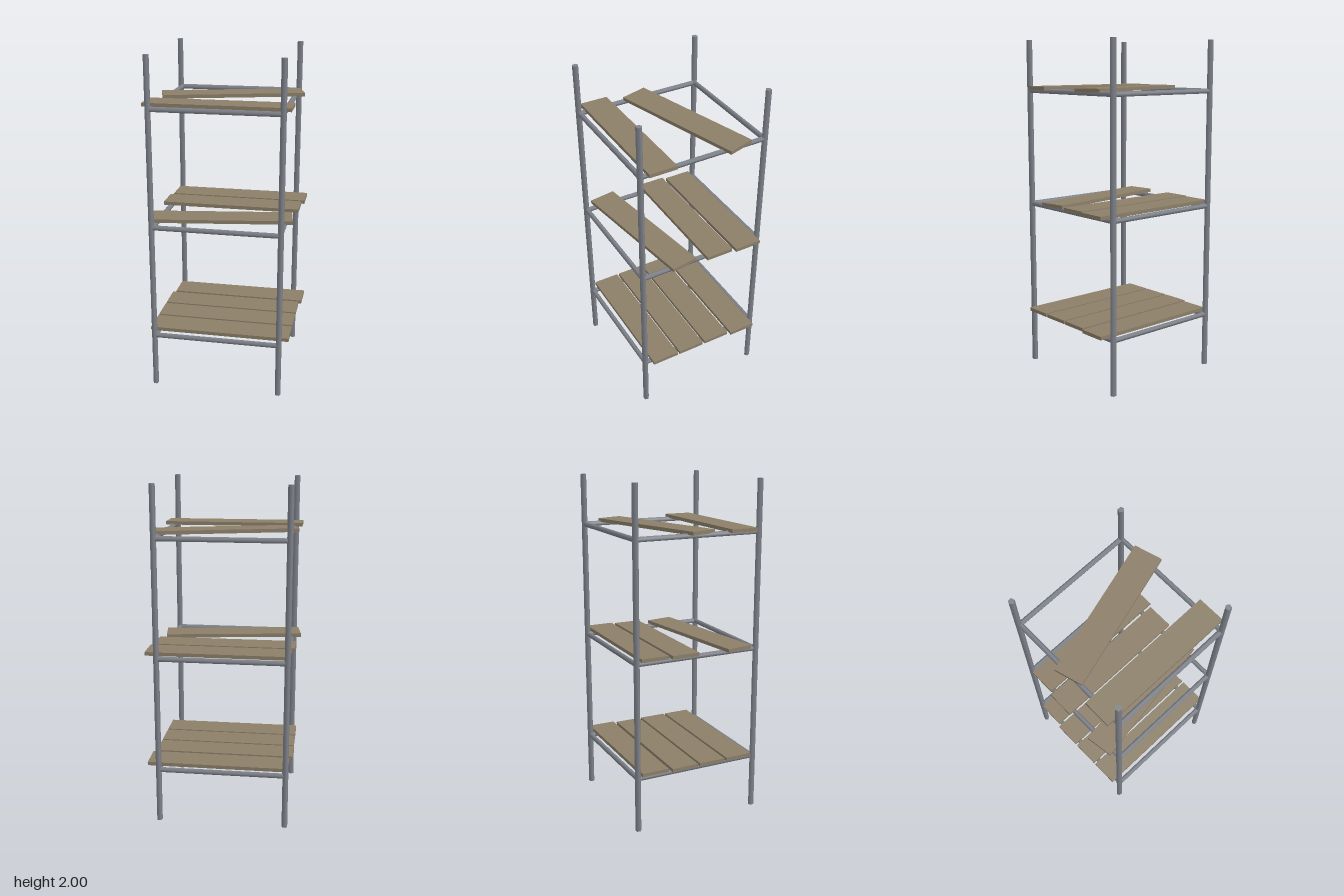
import * as THREE from 'three';

export function createModel() {
  const group = new THREE.Group();
  group.name = 'scaffoldShelf';
  const metal = new THREE.MeshStandardMaterial({ color: 0x80848c });
  metal.name = 'grey metal';
  const wood = new THREE.MeshStandardMaterial({ color: 0x8c7f69 });
  wood.name = 'weathered wood';

  const add = (name, geometry, material, x, y, z, turn = 0) => {
    const mesh = new THREE.Mesh(geometry, material);
    mesh.name = name;
    mesh.position.set(x, y, z);
    mesh.rotation.y = turn;
    group.add(mesh);
  };

  // Four upright five-sided poles, each with a corner pointing inwards
  const pole = new THREE.CylinderGeometry(0.018, 0.018, 2, 5);
  for (const x of [-0.388, 0.366]) {
    add('backPole', pole, metal, x, 1, -0.384);
    add('frontPole', pole, metal, x, 1, 0.384, Math.PI);
  }

  // Horizontal rails, one rectangle per level
  const crossRail = new THREE.CylinderGeometry(0.0155, 0.0155, 0.75, 5)
    .rotateY(-Math.PI / 2).rotateZ(-Math.PI / 2);
  const sideRail = new THREE.CylinderGeometry(0.0155, 0.0155, 0.76, 5).rotateX(-Math.PI / 2);
  for (const y of [0.326, 1.011, 1.701]) {
    add('backRail', crossRail, metal, -0.008, y, -0.382);
    add('frontRail', crossRail, metal, -0.008, y, 0.384);
    add('rightRail', sideRail, metal, -0.38, y, 0);
    add('leftRail', sideRail, metal, 0.364, y, 0);
  }

  // Planks: x, y, z and turn; some have slipped askew
  const plank = new THREE.BoxGeometry(0.838, 0.021, 0.166);
  const planks = [
    [0.001, 0.349, 0.268, 0], [0.001, 0.349, 0.088, 0],
    [0.001, 0.349, -0.092, 0], [0.018, 0.349, -0.276, 0],
    [-0.0135, 1.033, 0.193, 0.15], [0.001, 1.033, -0.092, 0], [0.018, 1.033, -0.276, 0],
    [-0.013, 1.719, 0.268, 0], [0.001, 1.719, -0.093, 0.28],
  ];
  for (const [x, y, z, turn] of planks) add('plank', plank, wood, x, y, z, turn);

  return group;
}
